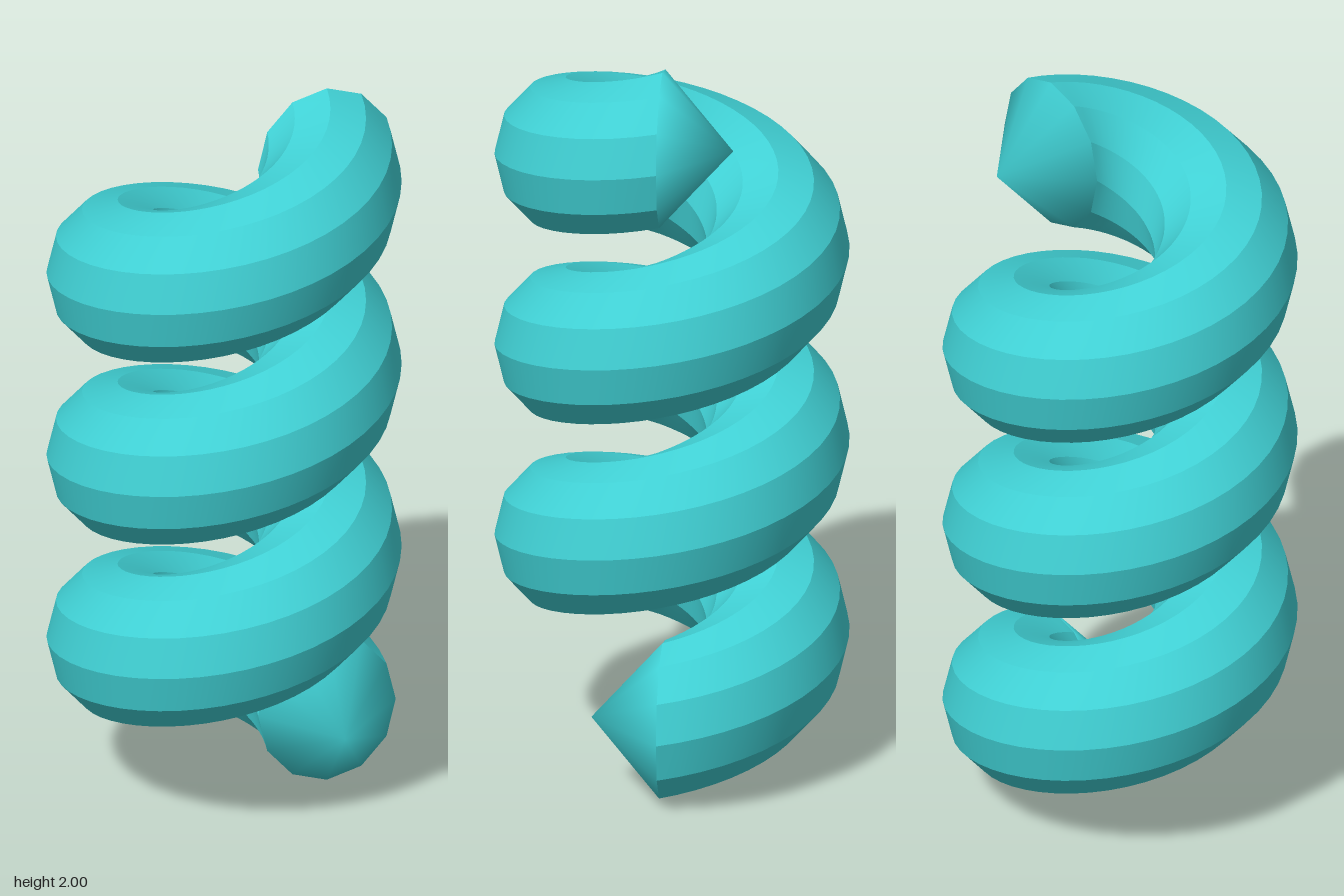
import * as THREE from 'three';
import { mergeGeometries } from 'three/addons/utils/BufferGeometryUtils.js';

const TURNS = 3, STEPS = 48 * TURNS, SIDES = 12;
const COIL = 0.272;          // radius of the coil's centre line
const RX = 0.182, RY = 0.21; // half width and half height of the section
const Y0 = 0.21, Y1 = 1.79;  // centre heights of the two ends

// One facet strip along the helix: smooth lengthwise, sharp at its two edges
function strip(side) {
  const pos = [], index = [];
  for (let i = 0; i <= STEPS; i++) {
    const f = i / STEPS, t = f * TURNS * Math.PI * 2;
    for (let k = 0; k < 2; k++) {
      const a = ((side + k) / SIDES) * Math.PI * 2;
      const r = COIL + RX * Math.cos(a);
      pos.push(r * Math.cos(t), Y0 + (Y1 - Y0) * f + RY * Math.sin(a), -r * Math.sin(t));
    }
    if (i < STEPS) {
      const p = i * 2;
      index.push(p, p + 2, p + 3, p, p + 3, p + 1);
    }
  }
  const g = new THREE.BufferGeometry();
  g.setAttribute('position', new THREE.Float32BufferAttribute(pos, 3));
  g.setIndex(index);
  g.computeVertexNormals();
  return g;
}

// Pointed end cap with rounded shading, pointing to +z
function capGeometry() {
  const g = new THREE.ConeGeometry(1, 1, SIDES, 1, true).translate(0, 0.5, 0);
  g.setAttribute('normal', g.attributes.position.clone());
  return g.rotateX(Math.PI / 2).scale(RX, RY, RX);
}

export function createModel() {
  const group = new THREE.Group();
  group.name = 'spring';
  const material = new THREE.MeshStandardMaterial({ color: 0x40d0d4 });

  const strips = [];
  for (let s = 0; s < SIDES; s++) strips.push(strip(s));
  const coil = new THREE.Mesh(mergeGeometries(strips), material);
  coil.name = 'coil';
  group.add(coil);

  const cap = capGeometry();
  for (const [name, y, turn] of [['bottomCap', Y0, 0], ['topCap', Y1, Math.PI]]) {
    const mesh = new THREE.Mesh(cap, material);
    mesh.name = name;
    mesh.position.set(COIL, y, 0);
    mesh.rotation.y = turn;
    group.add(mesh);
  }
  return group;
}
